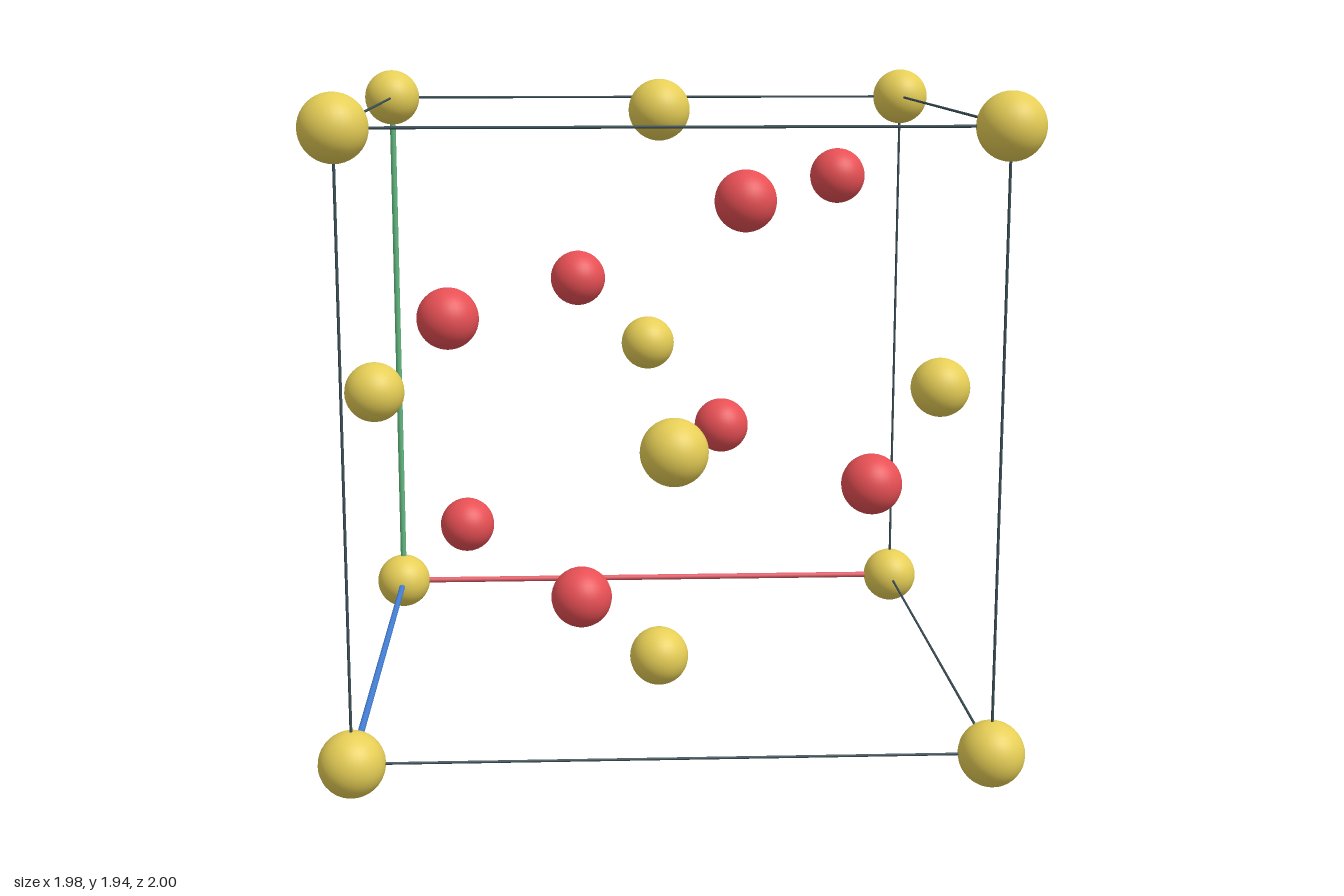
import * as THREE from 'three';

const HALF = { x: 0.894, y: 0.876, z: 0.906 }; // half extents of the cell
const R = 0.094; // atom radius
const CENTRE_Y = HALF.y + R;

const mat = (name, color) => {
  const m = new THREE.MeshStandardMaterial({ color });
  m.name = name;
  return m;
};

export function createModel() {
  const model = new THREE.Group();
  model.name = 'crystalCell';

  const yellow = mat('yellow atom', 0xe6ce56);
  const red = mat('red atom', 0xf05358);
  const slate = mat('slate edge', 0x3d5159);
  const axisMats = {
    x: mat('red axis', 0xe5606a),
    y: mat('green axis', 0x62b880),
    z: mat('blue axis', 0x437fd6),
  };

  // cell coordinates from -1 to 1 on each axis
  const place = (u, v, w) => new THREE.Vector3(u * HALF.x, CENTRE_Y + v * HALF.y, w * HALF.z);

  const ball = new THREE.SphereGeometry(R, 32, 20);
  const addAtom = (name, material, u, v, w) => {
    const mesh = new THREE.Mesh(ball, material);
    mesh.name = name;
    mesh.position.copy(place(u, v, w));
    model.add(mesh);
  };

  // corner and face-centre atoms
  const steps = [-1, 0, 1];
  for (const u of steps) for (const v of steps) for (const w of steps) {
    const zeros = [u, v, w].filter((n) => n === 0).length;
    if (zeros === 0) addAtom('cornerAtom', yellow, u, v, w);
    if (zeros === 2) addAtom('faceAtom', yellow, u, v, w);
  }

  // inner atoms, as fractions of the cell
  const inner = [
    [0.138, 0.151, 0.118], [0.138, 0.651, 0.618],
    [0.360, 0.151, 0.618], [0.360, 0.651, 0.118],
    [0.640, 0.351, 0.118], [0.640, 0.851, 0.618],
    [0.862, 0.351, 0.618], [0.862, 0.851, 0.118],
  ];
  for (const f of inner) addAtom('innerAtom', red, ...f.map((n) => n * 2 - 1));

  // twelve cell edges; the three meeting at the origin corner are coloured axes
  const up = new THREE.Vector3(0, 1, 0);
  const addEdge = (axis, a, b) => {
    const isAxis = a === -1 && b === -1;
    const ends = [-1, 1].map((t) => {
      if (axis === 'x') return place(t, a, b);
      if (axis === 'y') return place(a, t, b);
      return place(a, b, t);
    });
    const dir = ends[1].clone().sub(ends[0]);
    const radius = isAxis ? 0.01 : 0.004;
    const geometry = new THREE.CylinderGeometry(radius, radius, dir.length(), isAxis ? 12 : 8);
    const mesh = new THREE.Mesh(geometry, isAxis ? axisMats[axis] : slate);
    mesh.name = isAxis ? `${axis}Axis` : 'cellEdge';
    mesh.position.copy(ends[0]).lerp(ends[1], 0.5);
    mesh.quaternion.setFromUnitVectors(up, dir.normalize());
    model.add(mesh);
  };
  for (const axis of ['x', 'y', 'z'])
    for (const a of [-1, 1]) for (const b of [-1, 1]) addEdge(axis, a, b);

  return model;
}
